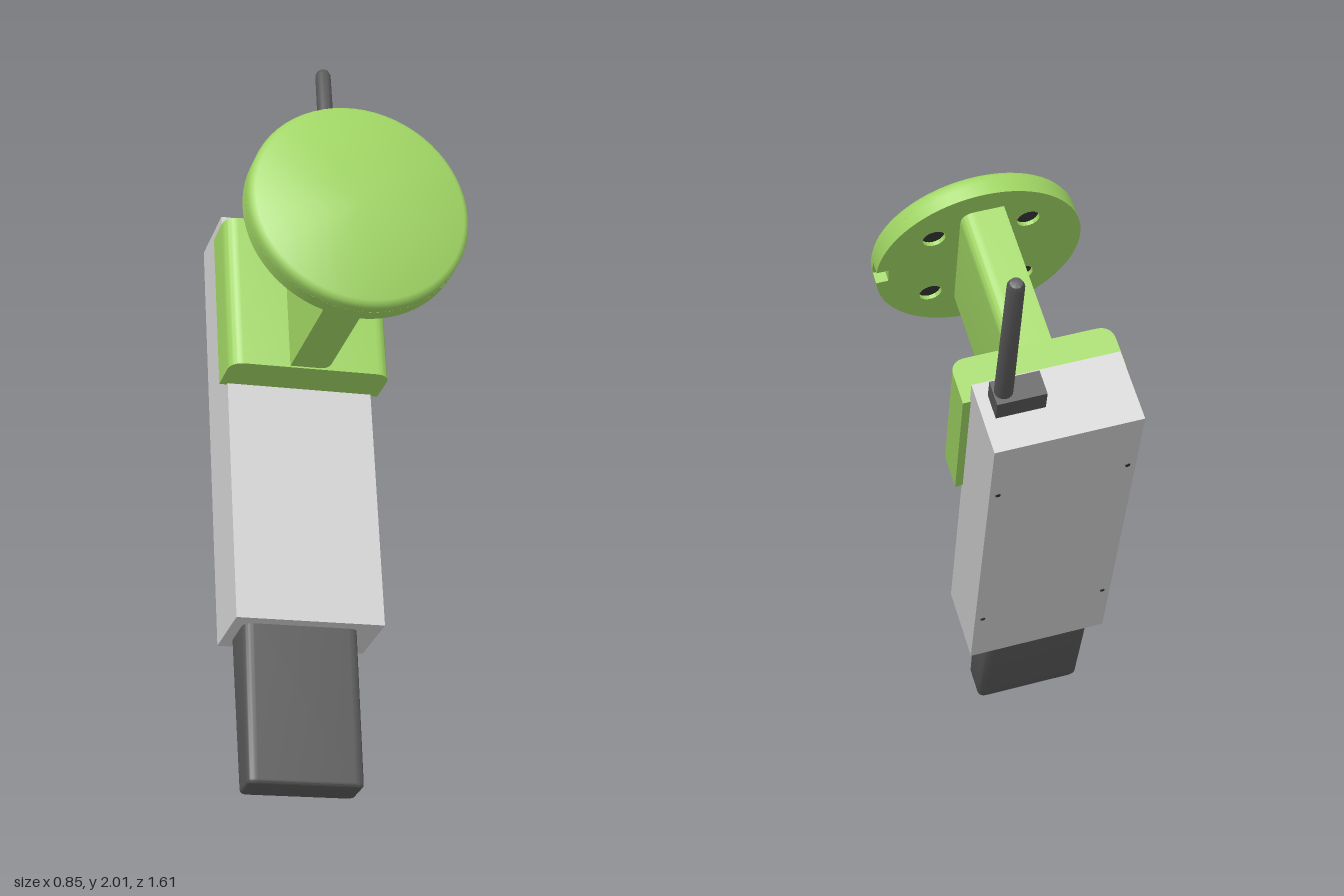
import * as THREE from 'three';
import { toCreasedNormals } from 'three/addons/utils/BufferGeometryUtils.js';

const mat = (name, color) => {
  const m = new THREE.MeshStandardMaterial({ color });
  m.name = name;
  return m;
};

// Rectangle outline; radii run bottom-left, bottom-right, top-right, top-left
function roundedRect(x0, y0, x1, y1, [a, b, c, d]) {
  const s = new THREE.Shape();
  s.moveTo(x0 + a, y0);
  s.lineTo(x1 - b, y0);
  if (b) s.quadraticCurveTo(x1, y0, x1, y0 + b);
  s.lineTo(x1, y1 - c);
  if (c) s.quadraticCurveTo(x1, y1, x1 - c, y1);
  s.lineTo(x0 + d, y1);
  if (d) s.quadraticCurveTo(x0, y1, x0, y1 - d);
  s.lineTo(x0, y0 + a);
  if (a) s.quadraticCurveTo(x0, y0, x0 + a, y0);
  return s;
}

// Extrudes a shape from z0 to z1, with an optional bevel kept inside that length
function extrude(shape, z0, z1, bevel = 0) {
  const g = new THREE.ExtrudeGeometry(shape, {
    depth: z1 - z0 - 2 * bevel, bevelEnabled: bevel > 0, bevelThickness: bevel,
    bevelSize: bevel, bevelOffset: -bevel, bevelSegments: 3, curveSegments: 10,
  });
  g.translate(0, 0, z0 + bevel);
  return g;
}

export function createModel() {
  const green = mat('leaf green', 0x9fd463);
  const grey = mat('light grey', 0xd0d0d0);
  const dark = mat('charcoal', 0x585858);
  const hole = mat('hole black', 0x333333);

  // The device is built upright, then tilted as a whole
  const device = new THREE.Group();
  device.name = 'tiltedDevice';
  const add = (name, geo, material, x = 0, y = 0, z = 0) => {
    const m = new THREE.Mesh(geo, material);
    m.name = name;
    m.position.set(x, y, z);
    device.add(m);
    return m;
  };
  const crease = (g, a = 0.6) => toCreasedNormals(g, a);

  // Main housing with four screw holes in its back
  add('housing', new THREE.BoxGeometry(0.452, 1.34, 0.234), grey);
  for (const x of [-0.2, 0.2]) for (const y of [-0.41, 0.41]) {
    const g = new THREE.CylinderGeometry(0.008, 0.008, 0.004, 12).rotateX(Math.PI / 2);
    add('screwHole', g, hole, x, y, -0.117);
  }

  // Lower dark block, slightly thinner towards its foot
  const block = extrude(roundedRect(-0.175, -0.083, 0.175, 0.083, [0.03, 0.03, 0.03, 0.03]), -1.15, -0.63, 0.012);
  block.rotateX(-Math.PI / 2);
  const p = block.attributes.position;
  for (let i = 0; i < p.count; i++) {
    const t = THREE.MathUtils.clamp((p.getY(i) + 1.15) / 0.48, 0, 1);
    p.setZ(i, p.getZ(i) * (0.72 + 0.28 * t));
  }
  add('lowerBlock', crease(block), dark, -0.018, 0, -0.005);

  // Antenna on its connector
  add('antennaConnector', new THREE.BoxGeometry(0.15, 0.08, 0.08), dark, 0.115, 0.705, 0.032);
  const rod = [[0, 0], [0.028, 0], [0.025, 0.56], [0.018, 0.575], [0, 0.58]];
  add('antenna', crease(new THREE.LatheGeometry(rod.map(([x, y]) => new THREE.Vector2(x, y)), 20)),
    dark, 0.159, 0.73, 0.033);

  // Clamp plate across the front, rounded along its long front edges
  const clamp = extrude(roundedRect(-0.25, -0.255, 0.25, -0.108, [0.05, 0.05, 0, 0]), 0.09, 0.59);
  add('clampPlate', crease(clamp.rotateX(-Math.PI / 2)), green);

  // Neck slab between the clamp and the flange
  const neck = extrude(roundedRect(-0.066, 0.095, 0.07, 0.585, [0, 0.045, 0.045, 0]), 0.24, 0.76);
  add('neck', crease(neck), green);

  // Flange back layer with a rim notch and four bolt holes
  const R = 0.33, a = 0.085;
  const ring = new THREE.Shape();
  ring.absarc(0, 0, R, a, Math.PI * 2 - a, false);
  ring.lineTo(R - 0.04, -R * Math.sin(a));
  ring.lineTo(R - 0.04, R * Math.sin(a));
  ring.closePath();
  for (const x of [-0.15, 0.15]) for (const y of [-0.15, 0.15]) {
    const h = new THREE.Path();
    h.absarc(x, y, 0.036, 0, Math.PI * 2, true);
    ring.holes.push(h);
    const plug = new THREE.CylinderGeometry(0.036, 0.036, 0.006, 20).rotateX(Math.PI / 2);
    add('boltHole', plug, hole, x, 0.337 + y, 0.762);
  }
  const back = new THREE.ExtrudeGeometry(ring, { depth: 0.04, bevelEnabled: false, curveSegments: 64 });
  add('flangeBack', crease(back), green, 0, 0.337, 0.745);

  // Flange front layer with a softened rim
  const face = [[0, 0], [R, 0], [R, 0.022], [R - 0.006, 0.034], [R - 0.018, 0.041], [0, 0.042]];
  const disc = new THREE.LatheGeometry(face.map(([x, y]) => new THREE.Vector2(x, y)), 64);
  add('flangeFace', crease(disc.rotateX(Math.PI / 2)), green, 0, 0.337, 0.785);

  // Overall tilt
  const up = new THREE.Vector3(-0.09, 0.792, -0.605).normalize();
  const front = new THREE.Vector3(0.322, 0.602, 0.731);
  const side = new THREE.Vector3().crossVectors(up, front).normalize();
  front.crossVectors(side, up);
  device.quaternion.setFromRotationMatrix(new THREE.Matrix4().makeBasis(side, up, front));
  device.position.set(-0.125, 0.97, 0.01);

  const model = new THREE.Group();
  model.name = 'mountedDevice';
  model.add(device);
  return model;
}
